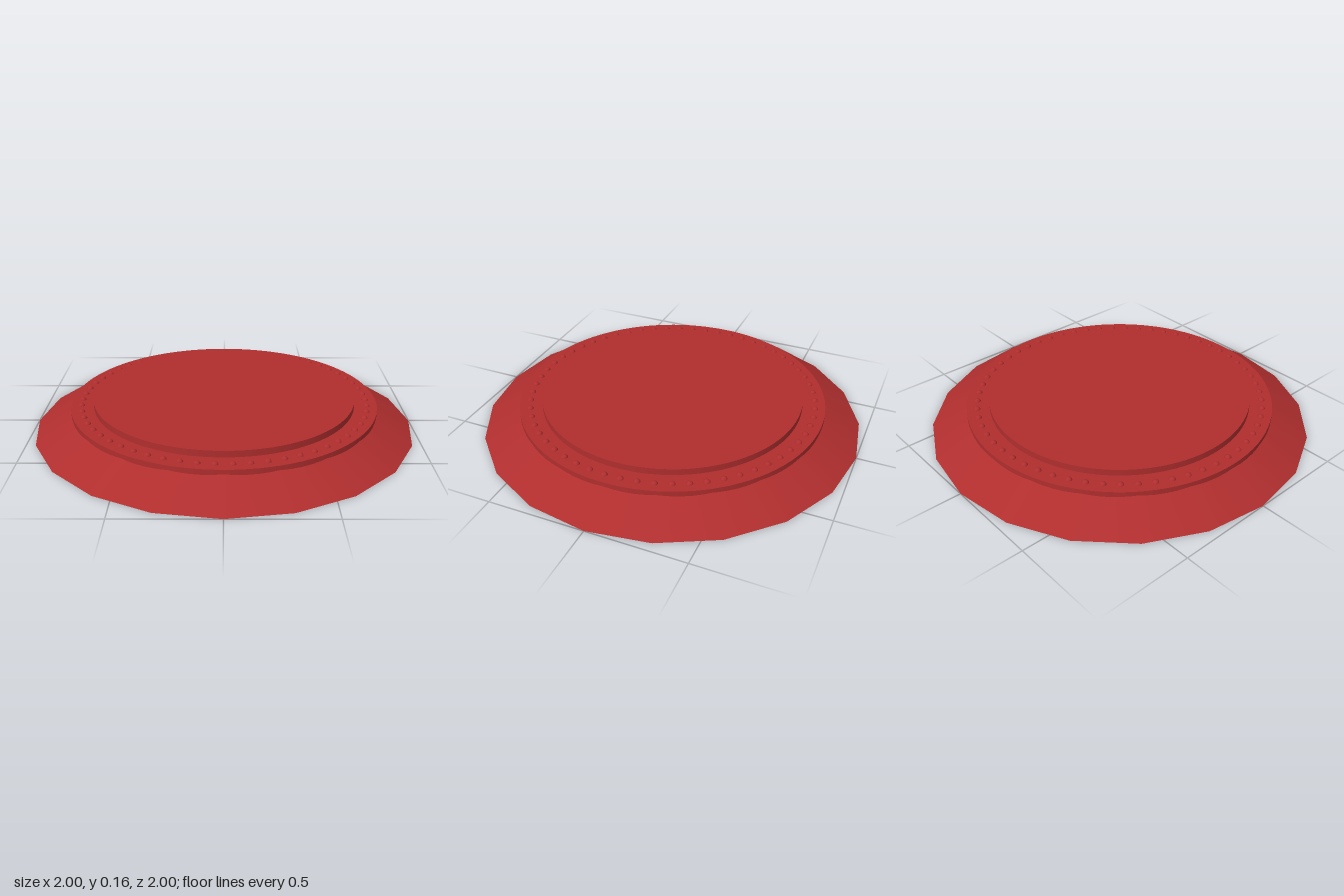
import * as THREE from 'three';

export function createModel() {
  const model = new THREE.Group();
  model.name = 'roundPlinth';
  const red = new THREE.MeshStandardMaterial({ color: 0xb02e2e });

  // Solid round tier between two heights
  function tier(name, topRadius, bottomRadius, y0, y1, sides) {
    const geometry = new THREE.CylinderGeometry(topRadius, bottomRadius, y1 - y0, sides);
    const mesh = new THREE.Mesh(geometry, red);
    mesh.name = name;
    mesh.position.y = (y0 + y1) / 2;
    model.add(mesh);
  }

  // Twenty-sided sloping skirt, with two round tiers on top
  tier('slopedBase', 0.774, 1, 0, 0.125, 20);
  tier('rimDisc', 0.806, 0.806, 0.095, 0.13, 96);
  tier('topDisc', 0.688, 0.688, 0.12, 0.163, 96);

  // Ring of small half-sunk beads, the first one at the back
  const beads = new THREE.Group();
  beads.name = 'beadRing';
  const beadGeometry = new THREE.SphereGeometry(0.018, 14, 10);
  const count = 59;
  for (let i = 0; i < count; i++) {
    const angle = (i / count) * Math.PI * 2;
    const bead = new THREE.Mesh(beadGeometry, red);
    bead.name = 'bead';
    bead.position.set(Math.sin(angle) * 0.752, 0.125, -Math.cos(angle) * 0.752);
    beads.add(bead);
  }
  model.add(beads);

  return model;
}
